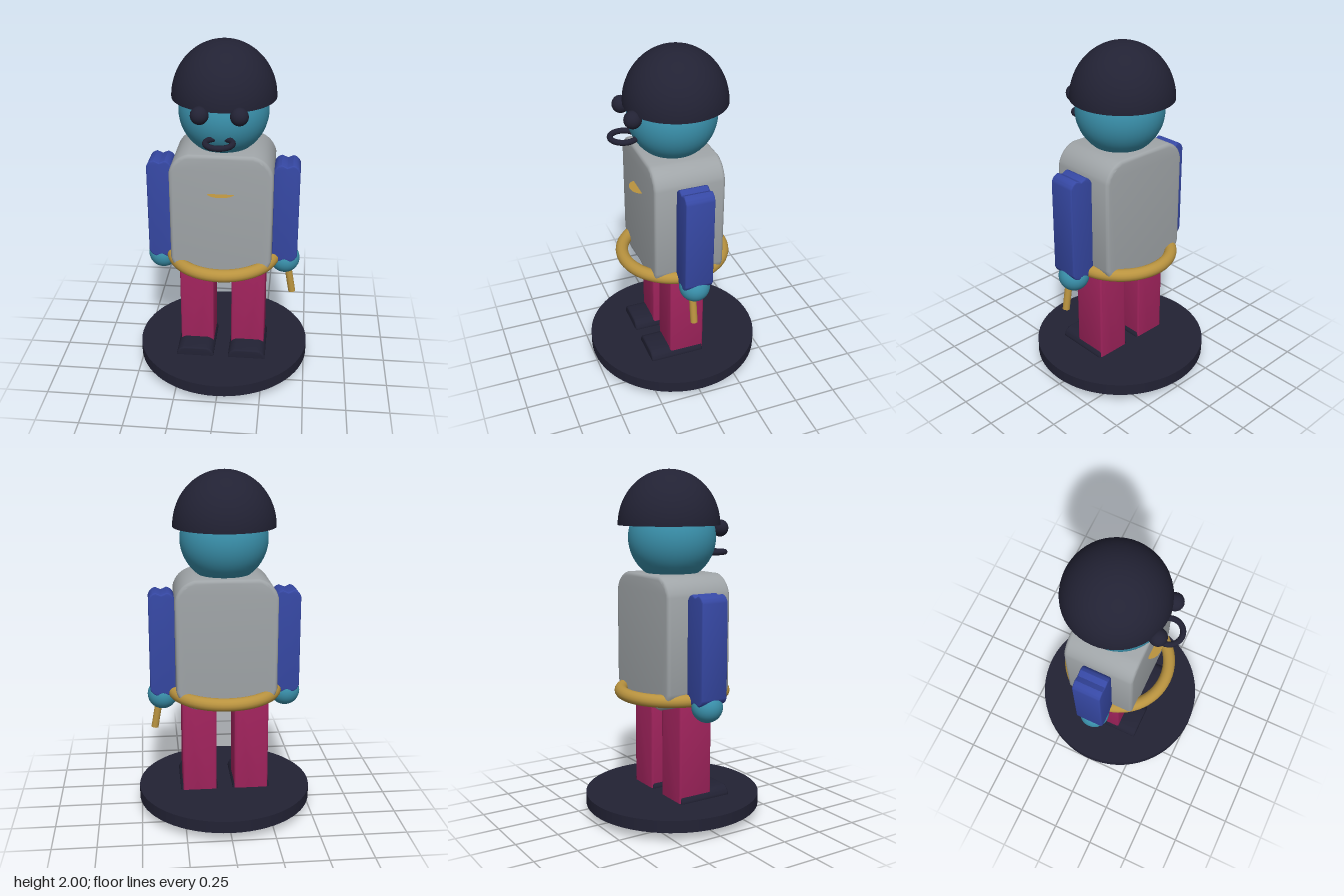
import * as THREE from 'three';
import { toCreasedNormals } from 'three/addons/utils/BufferGeometryUtils.js';

const mat = (name, color, side = THREE.FrontSide) => {
  const m = new THREE.MeshStandardMaterial({ color, side });
  m.name = name;
  return m;
};

// Outline with rounded corners and a shallow notch in the top and bottom edges
function blockShape(w, y0, y1, r, topNotch = 0, bottomNotch = 0) {
  const h = w / 2, s = new THREE.Shape();
  s.moveTo(-h + r, y0);
  s.lineTo(0, y0 + bottomNotch);
  s.lineTo(h - r, y0);
  s.quadraticCurveTo(h - r * 0.2, y0 + r * 0.2, h, y0 + r);
  s.lineTo(h, y1 - r);
  s.quadraticCurveTo(h - r * 0.2, y1 - r * 0.2, h - r, y1);
  s.lineTo(0, y1 - topNotch);
  s.lineTo(-h + r, y1);
  s.quadraticCurveTo(-h + r * 0.2, y1 - r * 0.2, -h, y1 - r);
  s.lineTo(-h, y0 + r);
  s.quadraticCurveTo(-h + r * 0.2, y0 + r * 0.2, -h + r, y0);
  return s;
}

// Extrude an outline along z between z0 and z1 with a small inward bevel
function block(shape, z0, z1, bevel) {
  const g = new THREE.ExtrudeGeometry(shape, {
    depth: z1 - z0 - 2 * bevel, bevelEnabled: true, bevelThickness: bevel,
    bevelSize: bevel, bevelOffset: -bevel, bevelSegments: 3, curveSegments: 8,
  });
  g.translate(0, 0, z0 + bevel);
  return toCreasedNormals(g, 0.6);
}

export function createModel() {
  const group = new THREE.Group();
  const navy = mat('dark navy', 0x222234);
  const navyOpen = navy;
  navyOpen.side = THREE.DoubleSide;
  const teal = mat('teal skin', 0x3a91ac);
  const grey = mat('grey shirt', 0xa0a5a8);
  const blue = mat('blue sleeve', 0x3648a4);
  const pink = mat('magenta trousers', 0xa0235c);
  const gold = mat('gold', 0xb9933f, THREE.DoubleSide);

  const add = (name, geometry, material, x = 0, y = 0, z = 0) => {
    const m = new THREE.Mesh(geometry, material);
    m.name = name;
    m.position.set(x, y, z);
    group.add(m);
    return m;
  };

  // Round stand
  add('base', new THREE.CylinderGeometry(0.512, 0.512, 0.07, 64), navy, 0, 0.09, 0);

  // Head and helmet
  add('head', new THREE.SphereGeometry(0.25, 40, 28), teal, 0, 1.62, 0);
  const helmet = add('helmet',
    new THREE.SphereGeometry(0.29, 48, 20, 0, Math.PI * 2, 0, Math.PI / 2),
    navyOpen, 0, 1.69, -0.02);
  helmet.scale.y = 0.31 / 0.29;

  // Ring-shaped mouth, half sunk in the face
  const mouth = add('mouth', new THREE.TorusGeometry(0.073, 0.016, 12, 40), navy, 0, 1.527, 0.28);
  mouth.rotation.x = Math.PI / 2;

  // Torso with belt
  add('torso', block(blockShape(0.576, 0.67, 1.422, 0.11, 0, 0.015), -0.205, 0.205, 0.02), grey);
  const belt = add('belt', new THREE.TorusGeometry(0.3, 0.037, 16, 64), gold, 0, 0.735, 0);
  belt.rotation.x = Math.PI / 2;

  // Thin horizontal half disc on the chest
  const badge = add('chestBadge', new THREE.CircleGeometry(0.075, 24, Math.PI, Math.PI), gold, 0, 1.197, 0.2);
  badge.rotation.x = -Math.PI / 2;
  badge.scale.y = 0.7;

  // Paired parts
  const armGeo = block(blockShape(0.148, 0.72, 1.33, 0.042, 0.014, 0.014), -0.083, 0.083, 0.008);
  const legGeo = block(blockShape(0.2, 0, 0.73, 0.045, 0, 0.018), -0.105, 0.105, 0.01);
  const shoeGeo = block(blockShape(0.222, 0.08, 0.178, 0.045), -0.1, 0.226, 0.01);
  const handGeo = new THREE.SphereGeometry(0.088, 28, 20);
  const eyeGeo = new THREE.SphereGeometry(0.049, 24, 16);
  for (const [side, s] of [['left', 1], ['right', -1]]) {
    add(side + 'Eye', eyeGeo, navy, s * 0.105, 1.67, 0.258);
    add(side + 'Arm', armGeo, blue, s * 0.36, 0, 0);
    add(side + 'Hand', handGeo, teal, s * 0.362, 0.706, 0);
    add(side + 'Leg', legGeo, pink, s * 0.153, 0, 0);
    add(side + 'Shoe', shoeGeo, navy, s * 0.155, 0, 0);
  }

  // Short stick held in the left hand
  const stick = add('stick', new THREE.CylinderGeometry(0.021, 0.021, 0.2, 20), gold, 0.395, 0.588, 0.02);
  stick.rotation.z = 0.17;

  return group;
}
